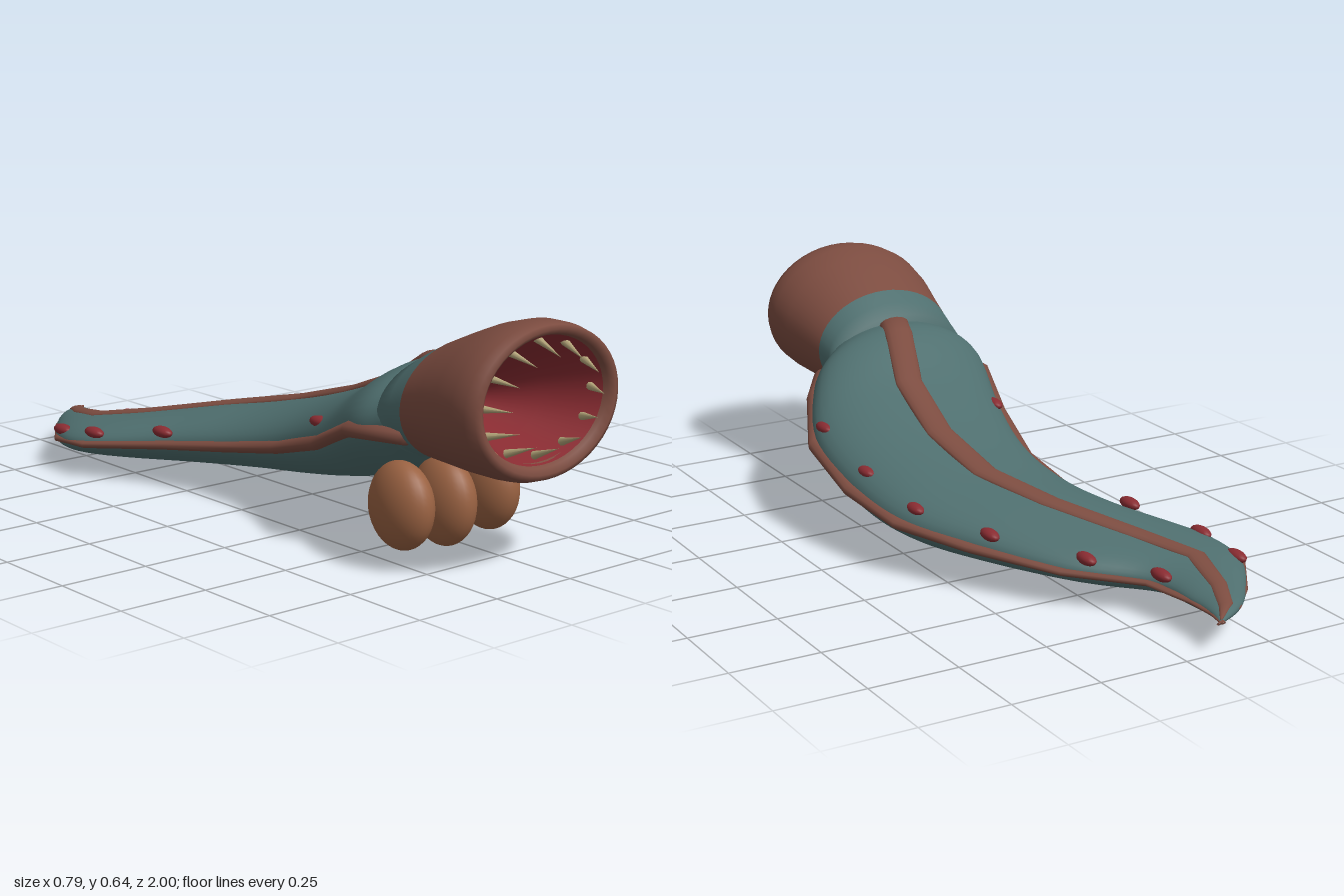
import * as THREE from 'three';

const mat = (name, color) => Object.assign(new THREE.MeshStandardMaterial({ color }), { name });

// Skin through elliptical rings [z, cx, cy, rx, ry]
function loft(rings, sides = 32) {
  const pos = [], idx = [];
  rings.forEach(([z, cx, cy, rx, ry], i) => {
    for (let k = 0; k < sides; k++) {
      const t = (k / sides) * Math.PI * 2;
      pos.push(cx + rx * Math.cos(t), cy + ry * Math.sin(t), z);
      if (i === rings.length - 1) continue;
      const a = i * sides + k, b = i * sides + (k + 1) % sides;
      idx.push(a, a + sides, b, b, a + sides, b + sides);
    }
  });
  const g = new THREE.BufferGeometry();
  g.setAttribute('position', new THREE.Float32BufferAttribute(pos, 3));
  g.setIndex(idx);
  g.computeVertexNormals();
  return g;
}

// Close both ends of a ring list
const capped = (r) => {
  const end = ([z, x, y]) => [z, x, y, 0.0005, 0.0005];
  return [end(r[0]), ...r, end(r[r.length - 1])];
};

// Body sections from neck to tail tip
const BODY = [
  [0.62, -0.045, 0.37, 0.19, 0.11],
  [0.57, -0.03, 0.36, 0.23, 0.125],
  [0.48, 0.0, 0.33, 0.28, 0.145],
  [0.3, 0.065, 0.25, 0.3, 0.135],
  [0.08, 0.088, 0.185, 0.28, 0.117],
  [-0.13, 0.065, 0.145, 0.265, 0.098],
  [-0.33, -0.02, 0.12, 0.24, 0.084],
  [-0.55, -0.155, 0.097, 0.225, 0.063],
  [-0.7, -0.235, 0.085, 0.145, 0.05],
  [-0.85, -0.2, 0.08, 0.085, 0.032],
  [-0.94, -0.157, 0.08, 0.045, 0.018],
  [-1.0, -0.1, 0.08, 0.002, 0.002],
];

export function createModel() {
  const root = new THREE.Group();
  const teal = mat('tealSkin', 0x4f6f6f);
  const brown = mat('brownHide', 0x7c4c40);
  const red = mat('redFlesh', 0x8a2c32);
  const tan = mat('tanPod', 0x9a6242);
  const bone = mat('bone', 0xb5a67a);
  const add = (name, geometry, material, parent = root) => {
    const m = new THREE.Mesh(geometry, material);
    m.name = name;
    parent.add(m);
    return m;
  };

  // Smooth slug body
  const mid = new THREE.CatmullRomCurve3(BODY.map(([z, x, y]) => new THREE.Vector3(x, y, z)), false, 'catmullrom', 0.5);
  const size = new THREE.CatmullRomCurve3(BODY.map((s) => new THREE.Vector3(s[3], s[4], 0)), false, 'catmullrom', 0.5);
  const smooth = [];
  for (let i = 0; i <= 66; i++) {
    const p = mid.getPoint(i / 66), s = size.getPoint(i / 66);
    smooth.push([p.z, p.x, p.y, Math.max(s.x, 0.001), Math.max(s.y, 0.001)]);
  }
  add('body', loft(capped(smooth), 40), teal);

  // Back ridge in straight runs
  const ridge = BODY.slice(1, -1).map(([z, x, y, , ry], i) => {
    const f = 1 - i / 10;
    return [z, x, y + ry - 0.004, 0.02 + 0.028 * f, 0.008 + 0.014 * f];
  });
  ridge.push([-0.99, -0.108, 0.085, 0.004, 0.003]);
  add('backRidge', loft(capped(ridge), 14), brown);

  // Side frills along the widest line
  for (const side of [1, -1]) {
    const rings = [[0.645, side > 0 ? 0.165 : -0.225, 0.33, 0.035, 0.024]];
    for (const [z, x, y, rx] of BODY.slice(2)) {
      const f = (z + 1) / 1.5;
      const w = 0.008 + 0.03 * f;
      rings.push([z, x + side * (rx + 0.022 * Math.min(1, f * 3) - w), y - 0.005 * f, w, 0.004 + 0.02 * f]);
    }
    add(side > 0 ? 'leftFrill' : 'rightFrill', loft(capped(rings), 12), brown);
  }

  // Neck and flared muzzle
  add('neck', loft([[0.66, -0.047, 0.402, 0.219, 0.157], [0.61, -0.047, 0.388, 0.213, 0.144], [0.565, -0.046, 0.373, 0.212, 0.131], [0.565, -0.046, 0.373, 0.001, 0.001]], 48), teal);
  add('muzzle', loft([
    [0.93, -0.051, 0.45, 0.204, 0.158],
    [0.958, -0.052, 0.45, 0.214, 0.166],
    [0.97, -0.052, 0.449, 0.23, 0.18],
    [0.962, -0.052, 0.447, 0.246, 0.193],
    [0.935, -0.052, 0.445, 0.256, 0.2],
    [0.89, -0.052, 0.443, 0.258, 0.202],
    [0.82, -0.051, 0.433, 0.25, 0.193],
    [0.74, -0.049, 0.418, 0.233, 0.176],
    [0.66, -0.047, 0.402, 0.219, 0.157],
  ], 48), brown);
  add('mouthLining', loft([[0.665, -0.045, 0.406, 0.055, 0.044], [0.8, -0.048, 0.428, 0.132, 0.103], [0.945, -0.051, 0.45, 0.208, 0.162]], 48), red);
  add('throat', loft([[0.666, -0.045, 0.406, 0.0005, 0.0005], [0.666, -0.045, 0.406, 0.056, 0.045]], 32), teal);

  // Ring of teeth leaning inward
  const teeth = new THREE.Group();
  teeth.name = 'teeth';
  root.add(teeth);
  for (let i = 0; i < 12; i++) {
    const a = (i / 12) * Math.PI * 2;
    const base = new THREE.Vector3(-0.05 + 0.192 * Math.cos(a), 0.453 + 0.147 * Math.sin(a), 0.915);
    const tip = new THREE.Vector3(-0.05 + 0.155 * Math.cos(a), 0.453 + 0.113 * Math.sin(a), 1);
    const dir = tip.clone().sub(base);
    const t = add('tooth', new THREE.ConeGeometry(0.011, dir.length(), 8), bone, teeth);
    t.position.copy(base).lerp(tip, 0.5);
    t.quaternion.setFromUnitVectors(new THREE.Vector3(0, 1, 0), dir.normalize());
  }

  // Hanging pods under the neck
  for (const [x, y] of [[-0.194, 0.133], [-0.048, 0.12], [0.105, 0.133]]) {
    const pod = add('pod', new THREE.SphereGeometry(1, 28, 20), tan);
    pod.scale.set(0.067, y === 0.12 ? 0.12 : 0.117, 0.105);
    pod.position.set(x, y, 0.59);
  }

  // Warts down both flanks
  const warts = [
    [0.335, 0.293, 0.3], [0.325, 0.23, 0.07], [0.288, 0.182, -0.14], [0.18, 0.155, -0.35], [0.02, 0.13, -0.57], [-0.112, 0.11, -0.72],
    [-0.195, 0.29, 0.27], [-0.27, 0.157, -0.335], [-0.355, 0.127, -0.55], [-0.362, 0.108, -0.7],
  ];
  for (const [x, y, z] of warts) {
    const w = add('wart', new THREE.SphereGeometry(1, 14, 10), red);
    w.scale.set(0.02, 0.016, 0.04);
    w.position.set(x, y, z);
  }
  return root;
}
